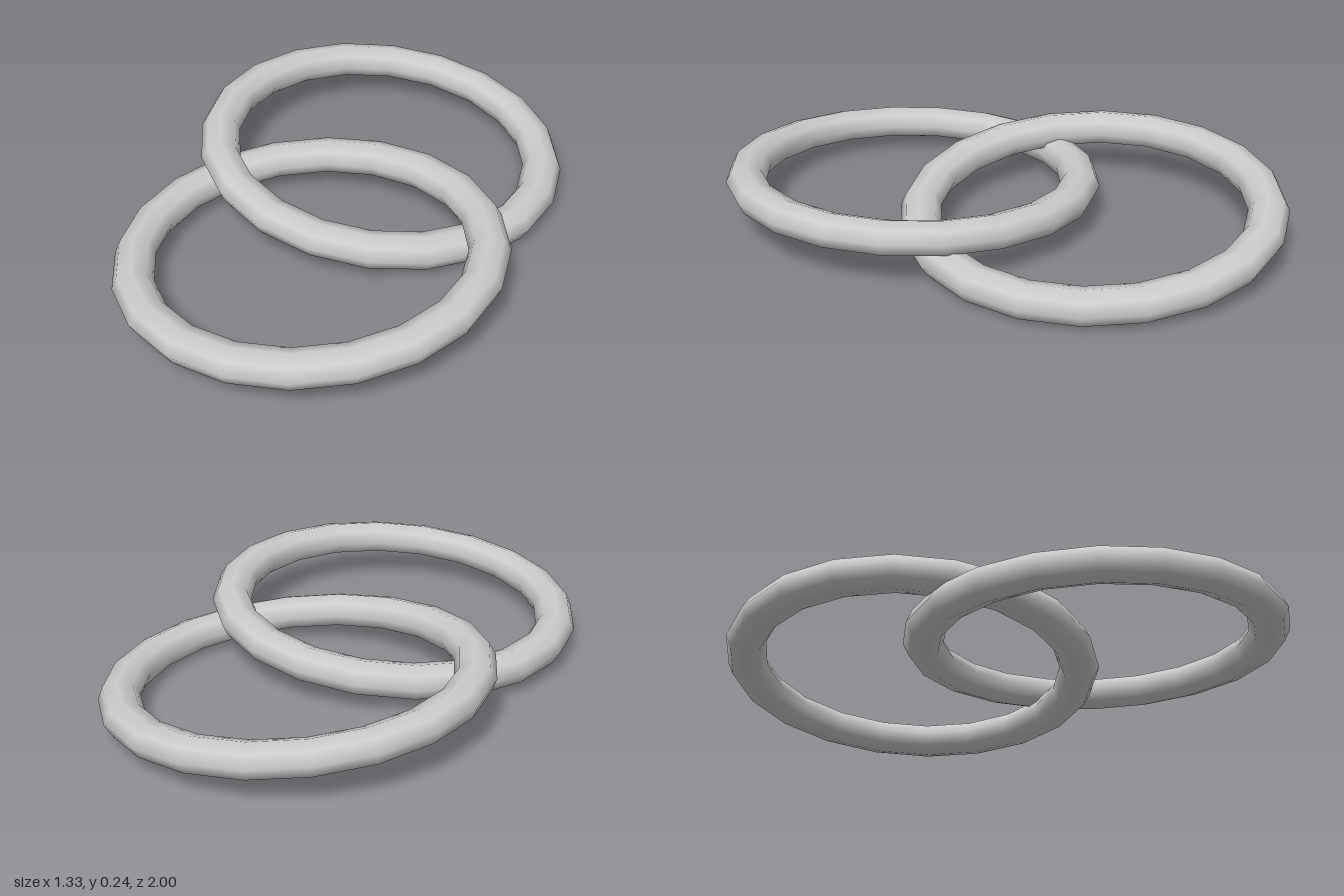
import * as THREE from 'three';

const material = new THREE.MeshStandardMaterial({ color: 0xcccccc });

// Flat-lying ring with a slightly flattened eight-sided section
function makeRing(name, x, y, z, tilt) {
  const geometry = new THREE.TorusGeometry(0.591, 0.07, 8, 20);
  geometry.rotateX(-Math.PI / 2);
  geometry.scale(1, 0.84, 1);
  const ring = new THREE.Mesh(geometry, material);
  ring.name = name;
  ring.position.set(x, y, z);
  ring.rotation.z = tilt;
  return ring;
}

export function createModel() {
  const group = new THREE.Group();
  group.name = 'linkedRings';
  // Opposite tilts let each ring pass over the other on one side
  group.add(makeRing('frontRing', 0.005, 0.127, 0.336, 0.071));
  group.add(makeRing('backRing', -0.011, 0.12, -0.339, -0.101));
  return group;
}
